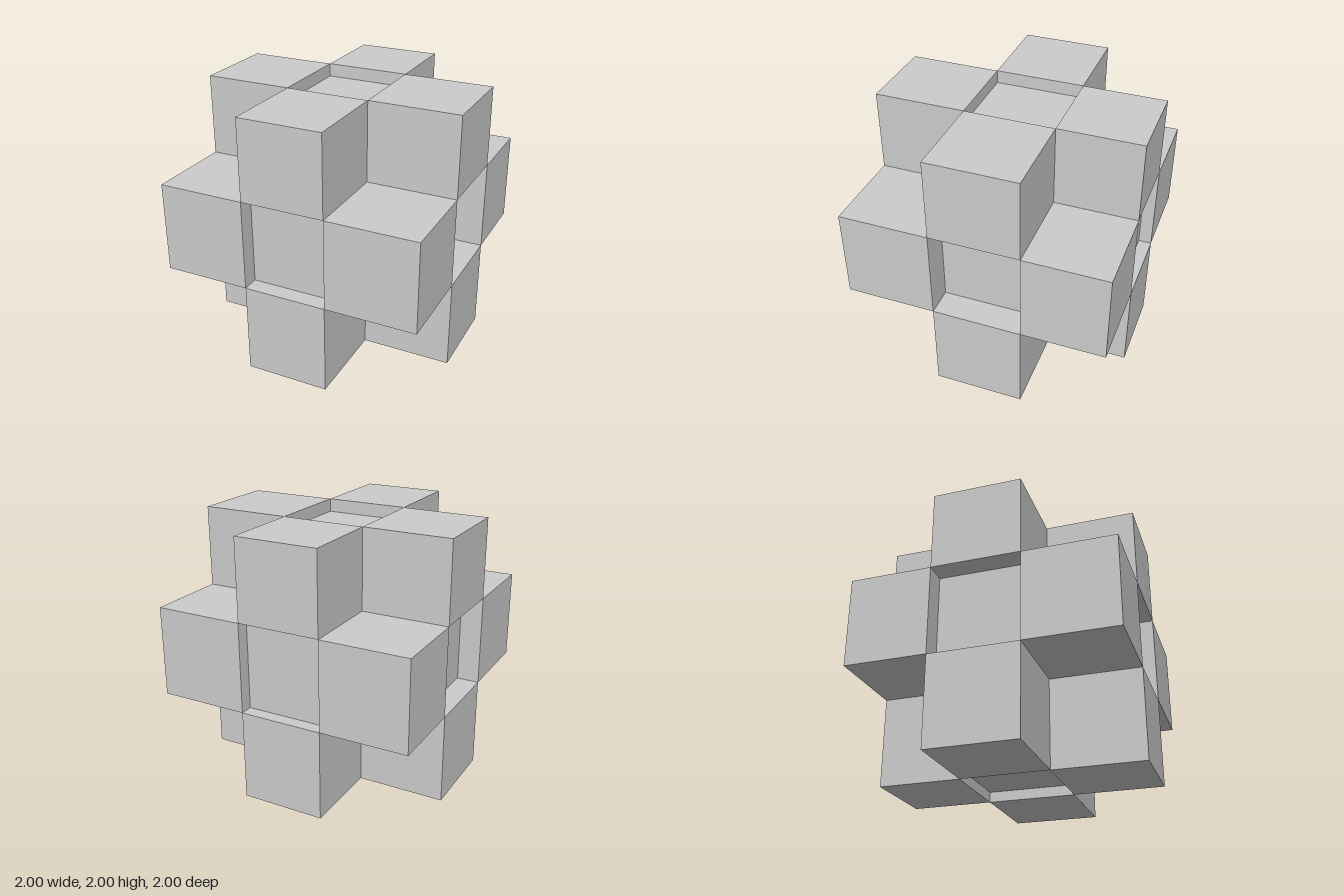
import * as THREE from 'three';

// Cell limits along each axis: low block, middle block, high block
const CELLS = {
  x: [-1, -0.33, 0.31, 1],
  y: [0, 0.69, 1.38, 2],
  z: [-1, -0.37, 0.31, 1],
};

// Ends of the core bars, sunk below the outer blocks
const CORE = { x: [-0.83, 0.78], y: [0.08, 1.9], z: [-0.9, 0.87] };

const AXES = ['x', 'y', 'z'];

export function createModel() {
  const model = new THREE.Group();
  const grey = new THREE.MeshStandardMaterial({ color: 0xcccccc });
  grey.name = 'plain grey';

  // Box from a [min, max] range on each axis
  function addBox(name, ranges) {
    const size = ranges.map(([a, b]) => b - a);
    const mesh = new THREE.Mesh(new THREE.BoxGeometry(...size), grey);
    mesh.position.set(...ranges.map(([a, b]) => (a + b) / 2));
    mesh.name = name;
    model.add(mesh);
  }

  const cell = (axis, i) => [CELLS[axis][i], CELLS[axis][i + 1]];

  // Twelve edge blocks: exactly one index is the middle cell
  for (let i = 0; i < 3; i++) {
    for (let j = 0; j < 3; j++) {
      for (let k = 0; k < 3; k++) {
        const middles = [i, j, k].filter((n) => n === 1).length;
        if (middles === 1) addBox('edgeBlock', [cell('x', i), cell('y', j), cell('z', k)]);
      }
    }
  }

  // Three crossing core bars whose ends form the recessed face centres
  for (const axis of AXES) {
    addBox(axis + 'CoreBar', AXES.map((a) => (a === axis ? CORE[a] : cell(a, 1))));
  }

  return model;
}
